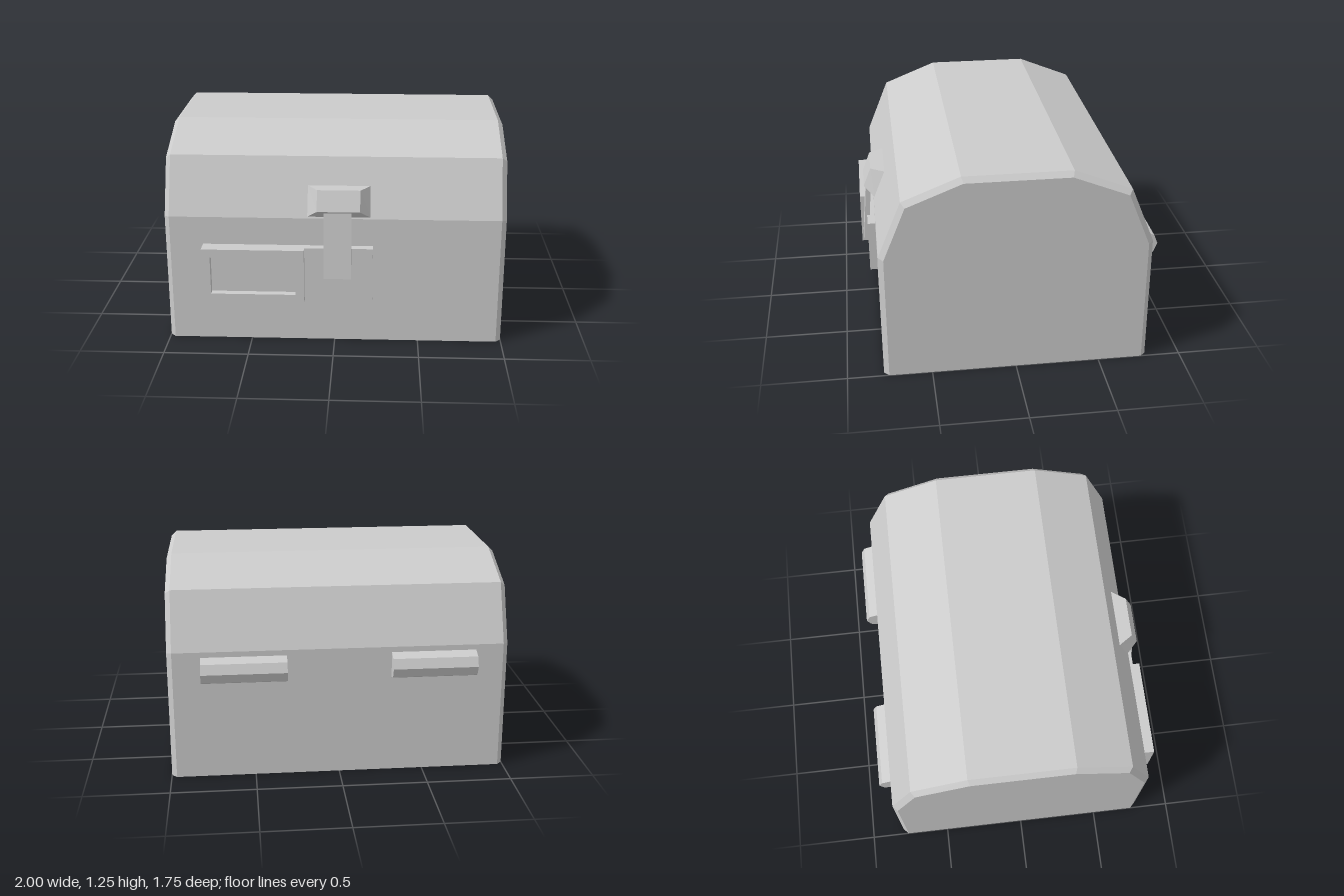
import * as THREE from 'three';

const material = new THREE.MeshStandardMaterial({ color: 0xcccccc, flatShading: true });

function addMesh(parent, name, geometry) {
  const mesh = new THREE.Mesh(geometry, material);
  mesh.name = name;
  parent.add(mesh);
  return mesh;
}

// Joins convex [z, y] cross-sections along x and caps both ends.
// Points run front bottom, back bottom, then up and over to the front.
function loft(sections) {
  const positions = [];
  const n = sections[0].points.length;
  const vertex = (s, j) => {
    const [z, y] = sections[s].points[j % n];
    positions.push(sections[s].x, y, z);
  };
  const last = sections.length - 1;
  for (let s = 0; s < last; s++) {
    for (let j = 0; j < n; j++) {
      vertex(s, j); vertex(s, j + 1); vertex(s + 1, j + 1);
      vertex(s, j); vertex(s + 1, j + 1); vertex(s + 1, j);
    }
  }
  for (let j = 1; j < n - 1; j++) {
    vertex(0, 0); vertex(0, j + 1); vertex(0, j);
    vertex(last, 0); vertex(last, j); vertex(last, j + 1);
  }
  const geometry = new THREE.BufferGeometry();
  geometry.setAttribute('position', new THREE.Float32BufferAttribute(positions, 3));
  geometry.computeVertexNormals();
  return geometry;
}

// Lofts a shell with chamfered ends; each half profile is mirrored front to back.
function chamferedShell(outerHalf, innerHalf) {
  const full = (half) => {
    const shift = -0.005;
    const back = half.map(([z, y]) => [-z + shift, y]);
    const front = half.map(([z, y]) => [z + shift, y]).reverse();
    return [front[front.length - 1], ...back, ...front.slice(0, -1)];
  };
  const outer = full(outerHalf), inner = full(innerHalf);
  return loft([
    { x: -1, points: inner },
    { x: -0.97, points: outer },
    { x: 0.97, points: outer },
    { x: 1, points: inner },
  ]);
}

function rectangle(PathType, x0, y0, x1, y1) {
  return new PathType([[x0, y0], [x1, y0], [x1, y1], [x0, y1]].map(([x, y]) => new THREE.Vector2(x, y)));
}

function createPlate(x0, x1, z0, z1) {
  const geometry = new THREE.BoxGeometry(x1 - x0, 0.33, z1 - z0);
  return geometry.translate((x0 + x1) / 2, 0.445, (z0 + z1) / 2);
}

export function createModel() {
  const chest = new THREE.Group();
  chest.name = 'chest';

  // Base and faceted lid meet at the hinge height
  const seam = 0.67;
  addMesh(chest, 'base', chamferedShell(
    [[0.79, 0], [0.79, seam]],
    [[0.76, 0], [0.76, seam]],
  ));
  addMesh(chest, 'lid', chamferedShell(
    [[0.79, seam], [0.79, 0.778], [0.652, 1.115], [0.315, 1.25]],
    [[0.76, seam], [0.76, 0.77], [0.63, 1.09], [0.305, 1.22]],
  ));

  // Lock plate, with a raised frame around a shallow recess
  const lock = new THREE.Group();
  lock.name = 'lock';
  chest.add(lock);
  addMesh(lock, 'lockPlate', createPlate(-0.175, 0.225, 0.76, 0.833));
  addMesh(lock, 'recessFloor', createPlate(-0.77, -0.18, 0.76, 0.833));
  const frame = rectangle(THREE.Shape, -0.775, 0.28, -0.175, 0.61);
  frame.holes.push(rectangle(THREE.Path, -0.725, 0.33, -0.225, 0.56));
  addMesh(lock, 'raisedFrame', new THREE.ExtrudeGeometry(frame, { depth: 0.095, bevelEnabled: false })
    .translate(0, 0, 0.78));

  // Latch block, tapering outward from the sloped lid
  const latch = new THREE.Group();
  latch.name = 'latch';
  chest.add(latch);
  const low = [0.78, 0.787], high = [0.708, 0.957];
  const root = [low, low, high, high];
  const face = [[0.843, 0.84], low, high, [0.797, 0.957]];
  addMesh(latch, 'latchBlock', loft([
    { x: -0.16, points: root },
    { x: -0.1, points: face },
    { x: 0.15, points: face },
    { x: 0.21, points: root },
  ]));

  // Leaning strap from the block down to the lock plate
  const strap = [[0.862, 0.43], [0.832, 0.43], [0.797, 0.835], [0.828, 0.835]];
  addMesh(latch, 'latchStrap', loft([{ x: -0.06, points: strap }, { x: 0.1, points: strap }]));

  // Half-octagonal hinges on the back
  for (const side of [-1, 1]) {
    const geometry = new THREE.CylinderGeometry(0.08, 0.08, 0.5, 4, 1, false, Math.PI / 2, Math.PI);
    geometry.rotateZ(Math.PI / 2);
    const hinge = addMesh(chest, side > 0 ? 'leftHinge' : 'rightHinge', geometry);
    hinge.position.set(side * 0.557, 0.666, -0.795);
  }

  return chest;
}
